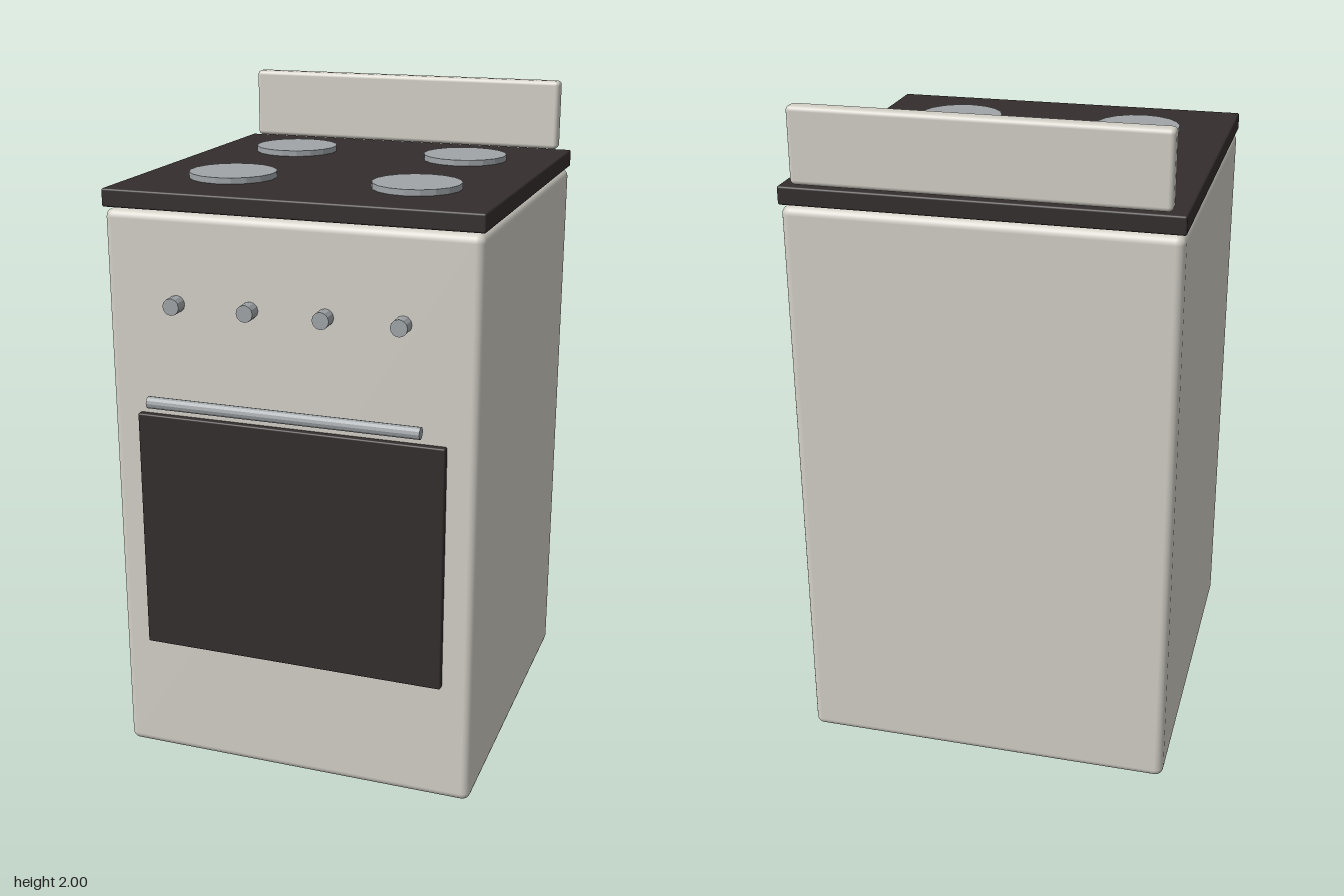
import * as THREE from 'three';
import { RoundedBoxGeometry } from 'three/addons/geometries/RoundedBoxGeometry.js';

export function createModel() {
  const model = new THREE.Group();
  model.name = 'cooker';

  const enamel = new THREE.MeshStandardMaterial({ color: 0xd3d0c7 });
  const dark = new THREE.MeshStandardMaterial({ color: 0x332e2d });
  const metal = new THREE.MeshStandardMaterial({ color: 0xa0a5a8, flatShading: true });

  const add = (name, geometry, material, x, y, z) => {
    const mesh = new THREE.Mesh(geometry, material);
    mesh.name = name;
    mesh.position.set(x, y, z);
    model.add(mesh);
    return mesh;
  };

  // Rounded box given by its half width and its y and z ranges
  const slab = (name, halfX, [y0, y1], [z0, z1], radius, material) =>
    add(name, new RoundedBoxGeometry(halfX * 2, y1 - y0, z1 - z0, 3, radius),
      material, 0, (y0 + y1) / 2, (z0 + z1) / 2);

  slab('body', 0.557, [0.003, 1.72], [-0.597, 0.52], 0.025, enamel);
  slab('cooktop', 0.56, [1.725, 1.778], [-0.6, 0.523], 0.006, dark);
  slab('backsplash', 0.522, [1.783, 2.0], [-0.6, -0.55], 0.014, enamel);
  slab('ovenDoor', 0.468, [0.377, 1.122], [0.51, 0.54], 0.005, dark);

  // Four hot plates
  for (const x of [-0.282, 0.282]) {
    for (const z of [-0.301, 0.222]) {
      add('burner', new THREE.CylinderGeometry(0.13, 0.13, 0.035, 18), metal, x, 1.778, z);
    }
  }

  // Row of control knobs
  for (let i = 0; i < 4; i++) {
    const knob = add('knob', new THREE.CylinderGeometry(0.025, 0.025, 0.06, 12),
      metal, (i - 1.5) * 0.225, 1.46, 0.532);
    knob.rotation.x = Math.PI / 2;
  }

  // Handle bar in front of the door
  const handle = add('doorHandle', new THREE.CylinderGeometry(0.018, 0.018, 0.82, 12),
    metal, 0, 1.176, 0.581);
  handle.rotation.z = Math.PI / 2;

  return model;
}
